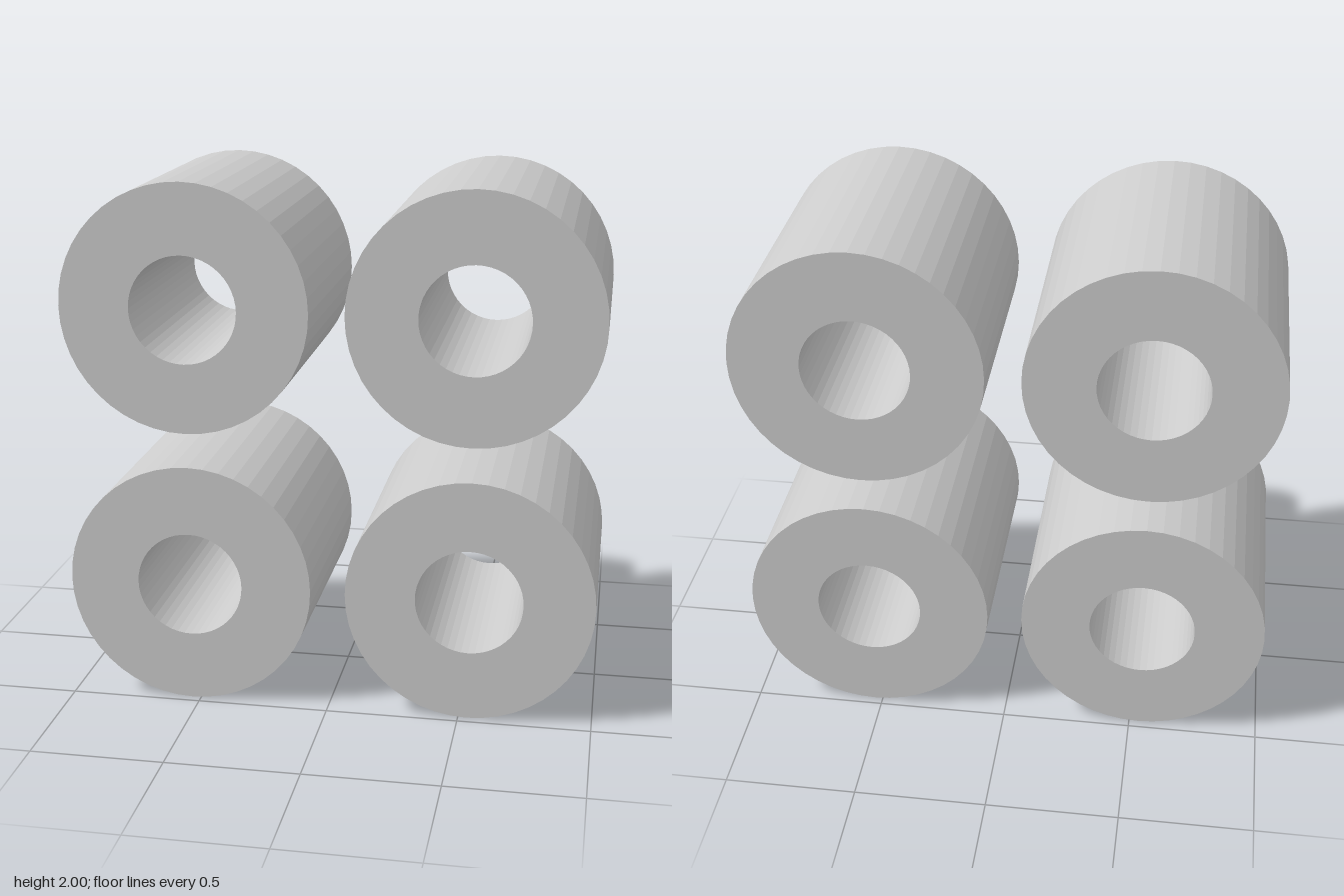
import * as THREE from 'three';

const OUTER_RADIUS = 0.467;
const BORE_RADIUS = 0.202;
const LENGTH = 0.934;
const SPACING = 0.533; // distance of each tube axis from the centre of the set

// Ring section extruded along z, 48 flat sides
function tubeGeometry() {
  const ring = new THREE.Shape().absarc(0, 0, OUTER_RADIUS, 0, Math.PI * 2, false);
  ring.holes.push(new THREE.Path().absarc(0, 0, BORE_RADIUS, 0, Math.PI * 2, true));
  const geometry = new THREE.ExtrudeGeometry(ring, {
    depth: LENGTH,
    steps: 1,
    curveSegments: 24,
    bevelEnabled: false,
  });
  return geometry.translate(0, 0, -LENGTH / 2);
}

export function createModel() {
  const model = new THREE.Group();
  model.name = 'spacerSet';
  const material = new THREE.MeshStandardMaterial({ color: 0xcccccc, flatShading: true });
  const geometry = tubeGeometry();

  // Two by two grid of identical spacers
  for (const [row, y] of [['lower', OUTER_RADIUS], ['upper', OUTER_RADIUS + 2 * SPACING]]) {
    for (const [side, x] of [['Left', SPACING], ['Right', -SPACING]]) {
      const spacer = new THREE.Mesh(geometry, material);
      spacer.name = `${row}${side}Spacer`;
      spacer.position.set(x, y, 0);
      model.add(spacer);
    }
  }
  return model;
}
